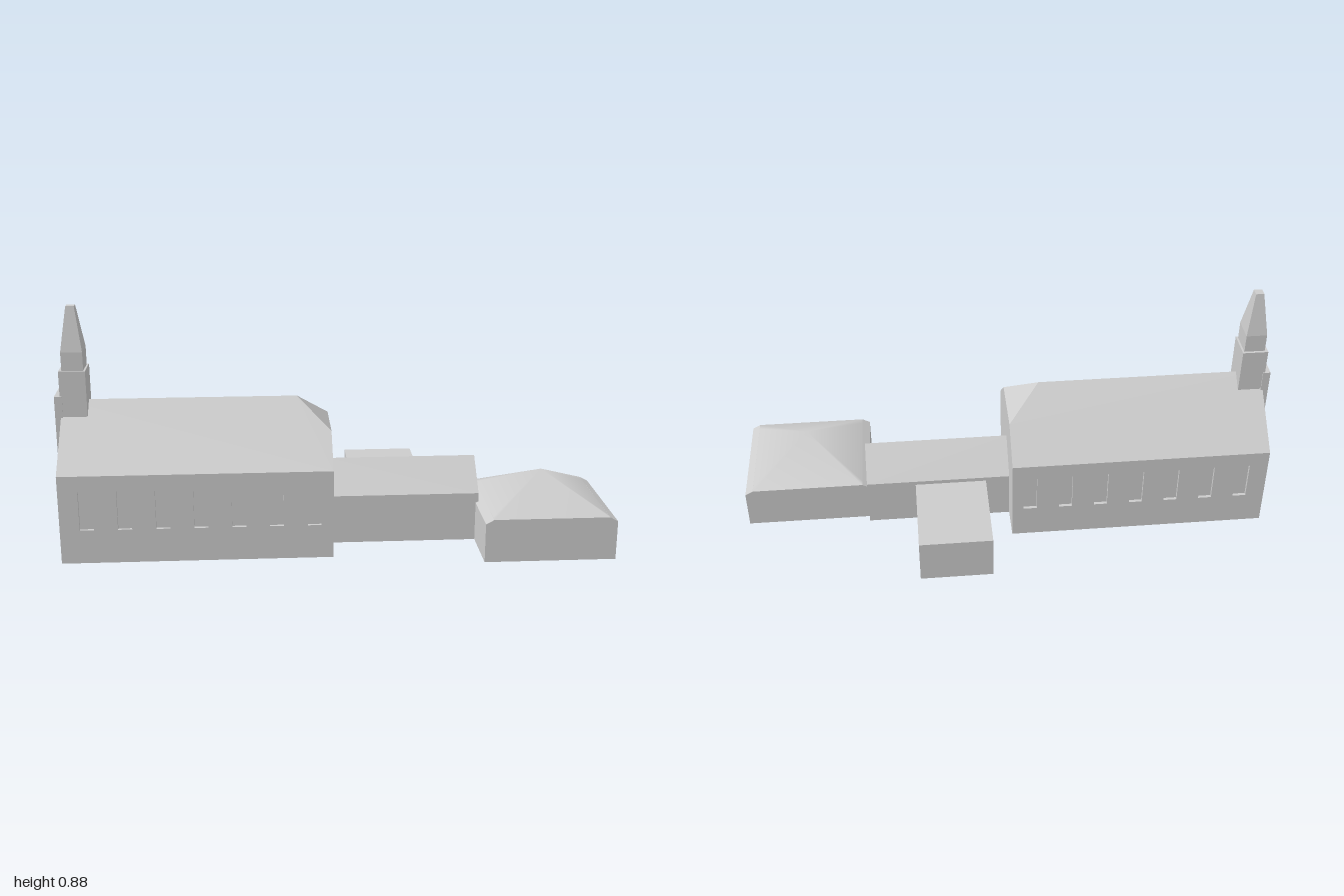
import * as THREE from 'three';
import { ConvexGeometry } from 'three/addons/geometries/ConvexGeometry.js';

const stone = new THREE.MeshStandardMaterial({ color: 0xcccccc });
stone.name = 'paleStone';

const RIDGE_Z = 0.063;   // shared axis of nave, tower and link
const RECESS = 0.012;    // depth of window and door niches

export function createModel() {
  const model = new THREE.Group();
  model.name = 'church';

  function add(name, geometry, parent = model) {
    const mesh = new THREE.Mesh(geometry, stone);
    mesh.name = name;
    parent.add(mesh);
    return mesh;
  }

  // Box given by its limits on each axis
  function box(name, x0, x1, y0, y1, z0, z1) {
    const mesh = add(name, new THREE.BoxGeometry(x1 - x0, y1 - y0, z1 - z0));
    mesh.position.set((x0 + x1) / 2, (y0 + y1) / 2, (z0 + z1) / 2);
    return mesh;
  }

  // Convex solid spanned by corner points
  const hull = (name, points) =>
    add(name, new ConvexGeometry(points.map(p => new THREE.Vector3(...p))));

  // Pointed opening, centred on x
  function niche(x, y0, shoulder, apex, half = 0.025) {
    const path = new THREE.Path();
    path.moveTo(x - half, y0);
    path.lineTo(x - half, shoulder);
    path.lineTo(x, apex);
    path.lineTo(x + half, shoulder);
    path.lineTo(x + half, y0);
    path.closePath();
    return path;
  }

  // Wall panel with openings; its outer face lies at local z = 0
  function panel(name, width, height, openings, x, z, turn) {
    const shape = new THREE.Shape();
    shape.moveTo(-width / 2, 0);
    shape.lineTo(width / 2, 0);
    shape.lineTo(width / 2, height);
    shape.lineTo(-width / 2, height);
    shape.closePath();
    shape.holes.push(...openings);
    const geometry = new THREE.ExtrudeGeometry(shape, { depth: RECESS, bevelEnabled: false });
    geometry.translate(0, 0, -RECESS);
    const mesh = add(name, geometry);
    mesh.position.set(x, 0, z);
    mesh.rotation.y = turn;
    return mesh;
  }

  // Nave walls: solid core wrapped by panels with pointed windows
  const W = -0.98, E = -0.01, N = -0.18, S = 0.31, EAVE = 0.328;
  const length = E - W, midX = (W + E) / 2, midZ = (N + S) / 2;
  box('naveCore', W + RECESS, E, 0, EAVE, N + RECESS, S - RECESS);
  const windowXs = Array.from({ length: 7 }, (_, i) => -0.885 + i * 0.1345 - midX);
  const windows = sign => windowXs.map(x => niche(sign * x, 0.125, 0.268, 0.305));
  panel('naveFrontWall', length, EAVE, windows(1), midX, S, 0);
  panel('naveBackWall', length, EAVE, windows(-1), midX, N, Math.PI);
  panel('naveWestWall', S - N - 2 * RECESS, EAVE,
    [-0.148, 0.148].map(x => niche(x, 0.125, 0.268, 0.305)), W, midZ, -Math.PI / 2);

  // Nave roof: west gable, half hip at the east
  hull('naveRoof', [
    [W, EAVE, N], [W, EAVE, S], [E, EAVE, N], [E, EAVE, S],
    [W, 0.537, RIDGE_Z], [-0.13, 0.537, RIDGE_Z],
    [E, 0.436, -0.056], [E, 0.436, 0.182],
  ]);

  // Entrance bay on the west gable
  box('entranceBay', -1 + RECESS, -0.972, 0, 0.565, 0.004, 0.124);
  panel('entranceWall', 0.12, 0.565, [niche(0, 0.015, 0.16, 0.2)], -1, 0.064, -Math.PI / 2);

  // Bell tower and blunt spire
  box('bellTower', -0.98, -0.885, 0.4, 0.657, 0.008, 0.121);
  box('spireBase', -0.969, -0.892, 0.657, 0.725, 0.018, 0.113);
  const spire = [];
  for (const x of [-1, 1]) for (const z of [-1, 1]) {
    spire.push([-0.9305 + x * 0.0385, 0.725, 0.0655 + z * 0.0475]);
    spire.push([-0.9305 + x * 0.015, 0.885, 0.0655 + z * 0.016]);
  }
  hull('spire', spire);

  // Gabled link
  const link = [];
  for (const x of [E, 0.535]) {
    link.push([x, 0, -0.053], [x, 0, 0.18], [x, 0.183, -0.053], [x, 0.183, 0.18], [x, 0.292, RIDGE_Z]);
  }
  hull('link', link);

  // Flat roofed annex behind the link
  box('annex', 0.08, 0.35, 0, 0.168, -0.39, -0.05);

  // East hall: walls whose tops follow the trimmed pyramid roof
  const hall = new THREE.Group();
  hall.name = 'eastHall';
  hall.position.set(0.7625, 0, 0.1815);
  model.add(hall);
  const A = 0.2375, B = 0.2085, LOW = 0.145, HIGH = 0.161;
  const outline = new THREE.Shape([
    [-A, 0], [A, 0], [A, LOW], [B, HIGH], [-B, HIGH], [-A, LOW],
  ].map(p => new THREE.Vector2(...p)));
  const walls = new THREE.ExtrudeGeometry(outline, { depth: 2 * B, bevelEnabled: false });
  walls.translate(0, 0, -B);
  add('hallWalls', walls, hall);

  // Softly shaded roof: fan from the apex round the eaves
  const rim = [[A, LOW, B], [A, LOW, -B], [B, HIGH, -B], [-B, HIGH, -B],
    [-A, LOW, -B], [-A, LOW, B], [-B, HIGH, B], [B, HIGH, B]];
  const roof = new THREE.BufferGeometry();
  roof.setAttribute('position',
    new THREE.Float32BufferAttribute([[0, 0.275, 0], ...rim].flat(), 3));
  const index = [];
  rim.forEach((_, i) => index.push(0, i + 1, (i + 1) % rim.length + 1));
  roof.setIndex(index);
  roof.computeVertexNormals();
  add('hallRoof', roof, hall);

  return model;
}
